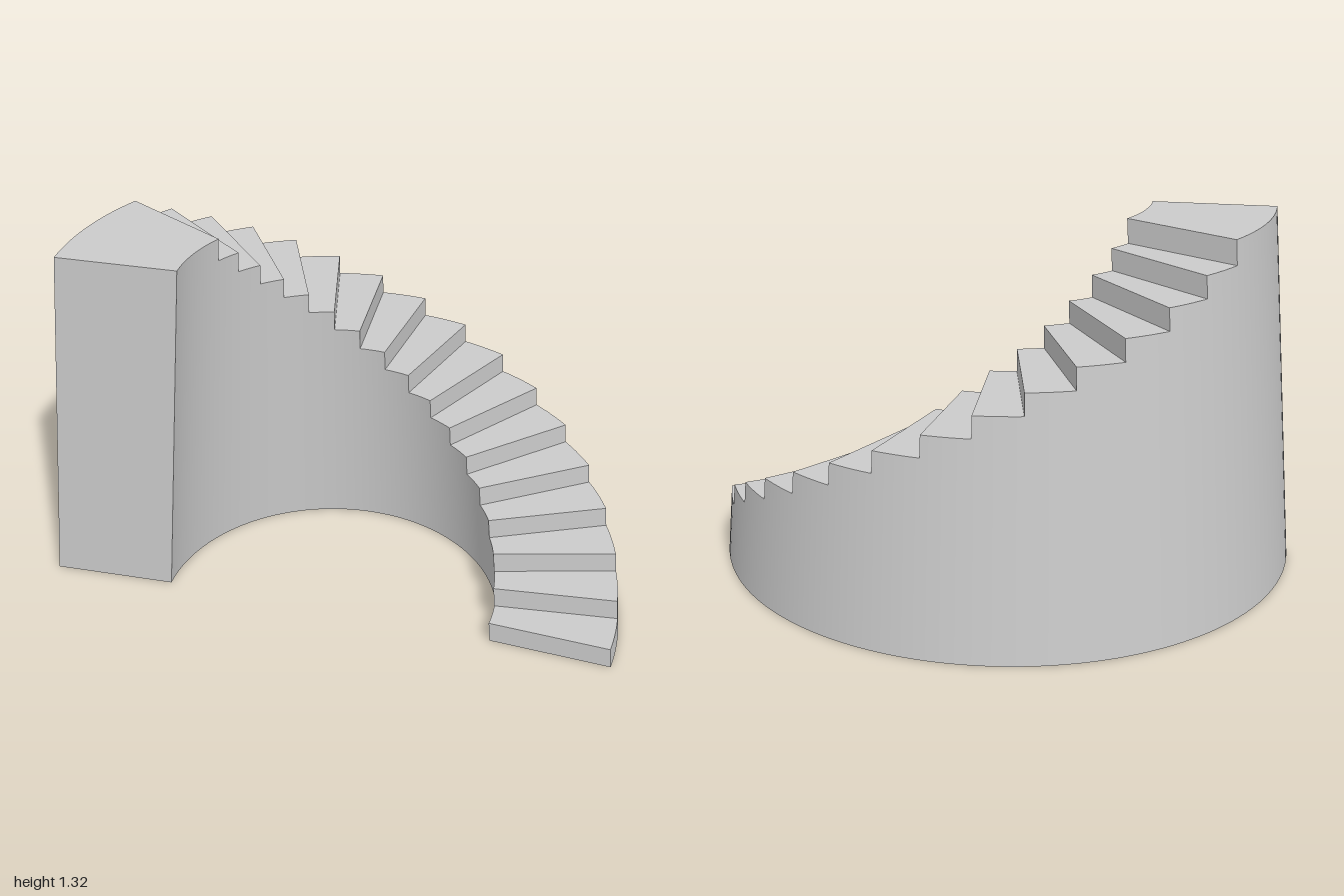
import * as THREE from 'three';

const CX = 0.043, CZ = 0.262;            // centre of the curve on plan
const STEPS = 17, HEIGHT = 1.315, RISE = 0.0768;
const START = THREE.MathUtils.degToRad(23.7);
const LANDING = Math.PI;                 // angle where the top landing begins
const END = THREE.MathUtils.degToRad(210);
const OUTER = 1.043, INNER = 0.604;      // radii at the floor
const OUTER_LEAN = 0.105 / HEIGHT, INNER_LEAN = 0.098 / HEIGHT;

const outerR = (y) => OUTER - OUTER_LEAN * y;
const innerR = (y) => INNER - INNER_LEAN * y;
const stepAngle = (i) => (i === STEPS ? END : START + (LANDING - START) * i / (STEPS - 1));
const stepTop = (i) => (i === STEPS - 1 ? HEIGHT : RISE * (i + 1));
const at = (r, a, y) => new THREE.Vector3(CX + r * Math.cos(a), y, CZ - r * Math.sin(a));
const outerAt = (a, y) => at(outerR(y), a, y);
const innerAt = (a, y) => at(innerR(y), a, y);
const outerNormal = (a) => new THREE.Vector3(Math.cos(a), OUTER_LEAN, -Math.sin(a)).normalize();
const innerNormal = (a) => new THREE.Vector3(-Math.cos(a), -INNER_LEAN, Math.sin(a)).normalize();

// Collects quads (corners counter-clockwise) with a normal for each corner
class Surface {
  constructor() { this.pos = []; this.nor = []; }
  quad(p, n) {
    for (const k of [0, 1, 2, 0, 2, 3]) {
      this.pos.push(...p[k].toArray());
      this.nor.push(...(Array.isArray(n) ? n[k] : n).toArray());
    }
  }
  mesh(name, material) {
    const g = new THREE.BufferGeometry();
    g.setAttribute('position', new THREE.Float32BufferAttribute(this.pos, 3));
    g.setAttribute('normal', new THREE.Float32BufferAttribute(this.nor, 3));
    const m = new THREE.Mesh(g, material);
    m.name = name;
    return m;
  }
}

export function createModel() {
  const group = new THREE.Group();
  group.name = 'curvedStaircase';
  const material = new THREE.MeshStandardMaterial({ color: 0xcccccc });
  const outerWall = new Surface(), innerWall = new Surface(), treads = new Surface();
  const risers = new Surface(), endWall = new Surface(), underside = new Surface();
  const up = new THREE.Vector3(0, 1, 0), down = new THREE.Vector3(0, -1, 0);

  for (let i = 0; i < STEPS; i++) {
    const a0 = stepAngle(i), a1 = stepAngle(i + 1), y = stepTop(i), low = RISE * i;

    // Riser at the front of each step
    risers.quad([innerAt(a0, low), outerAt(a0, low), outerAt(a0, y), innerAt(a0, y)],
      new THREE.Vector3(Math.sin(a0), 0, Math.cos(a0)));

    // Tread, leaning walls and base, in narrow slices along the curve
    const slices = i === STEPS - 1 ? 15 : 5;
    for (let s = 0; s < slices; s++) {
      const b = a0 + (a1 - a0) * s / slices, c = a0 + (a1 - a0) * (s + 1) / slices;
      const nb = outerNormal(b), nc = outerNormal(c), mb = innerNormal(b), mc = innerNormal(c);
      treads.quad([outerAt(b, y), outerAt(c, y), innerAt(c, y), innerAt(b, y)], up);
      underside.quad([outerAt(b, 0), innerAt(b, 0), innerAt(c, 0), outerAt(c, 0)], down);
      outerWall.quad([outerAt(b, 0), outerAt(c, 0), outerAt(c, y), outerAt(b, y)], [nb, nc, nc, nb]);
      innerWall.quad([innerAt(c, 0), innerAt(b, 0), innerAt(b, y), innerAt(c, y)], [mc, mb, mb, mc]);
    }
  }

  // Tall flat end below the landing
  endWall.quad([outerAt(END, 0), innerAt(END, 0), innerAt(END, HEIGHT), outerAt(END, HEIGHT)],
    new THREE.Vector3(-Math.sin(END), 0, -Math.cos(END)));

  group.add(
    outerWall.mesh('outerWall', material), innerWall.mesh('innerWall', material),
    treads.mesh('treads', material), risers.mesh('risers', material),
    endWall.mesh('endWall', material), underside.mesh('underside', material));
  return group;
}
